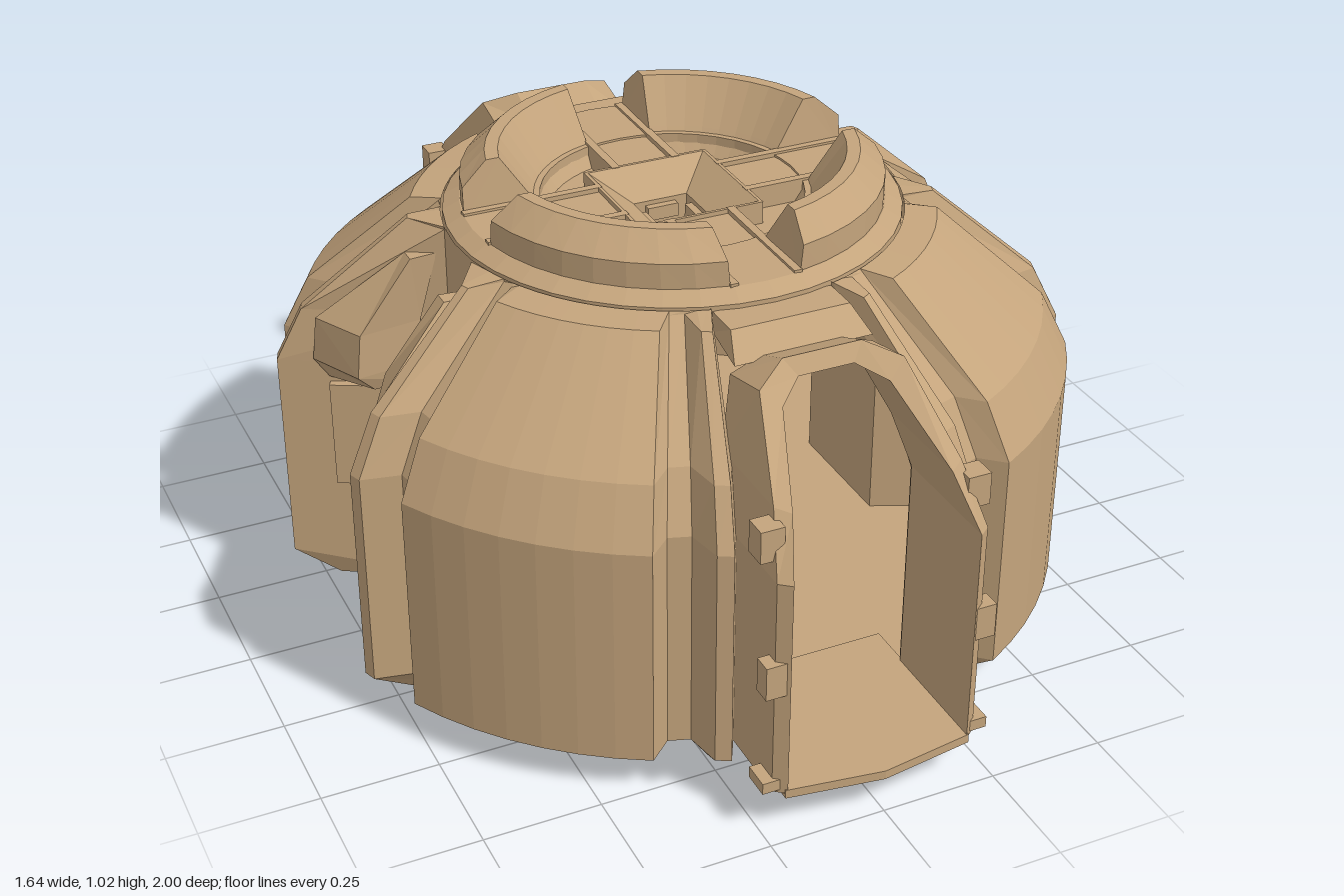
import * as THREE from 'three';

const mat = new THREE.MeshStandardMaterial({ color: 0xc4a47c, flatShading: true, side: THREE.DoubleSide });
const add = (parent, name, geo) => {
  const m = new THREE.Mesh(geo, mat);
  m.name = name;
  parent.add(m);
  return m;
};

// Skin a list of closed rings of [x, y, z]; the winding is turned outward by signed volume
function loft(rings, caps = false) {
  const tris = [];
  const n = rings[0].length;
  for (let i = 0; i < rings.length - 1; i++) {
    for (let j = 0; j < n; j++) {
      const k = (j + 1) % n;
      const a = rings[i][j], b = rings[i][k], c = rings[i + 1][k], d = rings[i + 1][j];
      tris.push([a, b, c], [a, c, d]);
    }
  }
  if (caps) {
    const last = rings[rings.length - 1];
    for (let j = 1; j < n - 1; j++) {
      tris.push([rings[0][0], rings[0][j + 1], rings[0][j]], [last[0], last[j], last[j + 1]]);
    }
  }
  const V = p => new THREE.Vector3(...p);
  const volume = tris.reduce((s, [a, b, c]) => s + V(a).dot(V(b).cross(V(c))), 0);
  const pos = tris.flatMap(([a, b, c]) => (volume < 0 ? [a, c, b] : [a, b, c])).flat();
  const g = new THREE.BufferGeometry();
  g.setAttribute('position', new THREE.Float32BufferAttribute(pos, 3));
  g.computeVertexNormals();
  return g;
}

// Horizontal plate from [x, z] points, with an optional hole
function slab(points, top, thickness, hole) {
  const vec = list => list.map(p => new THREE.Vector2(p[0], p[1]));
  const shape = new THREE.Shape(vec(points));
  if (hole) shape.holes.push(new THREE.Path(vec(hole)));
  const g = new THREE.ExtrudeGeometry(shape, { depth: thickness, bevelEnabled: false });
  return g.rotateX(Math.PI / 2).translate(0, top, 0);
}
const circle = (r, n) => Array.from({ length: n }, (_, i) => {
  const a = (i / n) * Math.PI * 2;
  return [r * Math.cos(a), r * Math.sin(a)];
});
const lathe = (pts, n) => new THREE.LatheGeometry(pts.map(p => new THREE.Vector2(p[0], p[1])), n);
const box = (w, h, d, x, y, z) => new THREE.BoxGeometry(w, h, d).translate(x, y, z);

// Dome profile: how far the wall leans inward at each height
const CORE = 0.49;
const LEVELS = [[0.01, 0.1], [0.08, 0], [0.57, 0], [0.69, 0.06], [0.89, 0.295], [0.896, 0.5]];
function inset(y) {
  const i = Math.max(1, LEVELS.findIndex(l => l[0] >= y));
  const [y0, v0] = LEVELS[i - 1], [y1, v1] = LEVELS[i];
  return v0 + (v1 - v0) * (y - y0) / (y1 - y0);
}
function onDome([x, z], y, core = CORE) {
  const r = Math.hypot(x, z);
  const k = Math.max(r - inset(y), core) / r;
  return [x * k, y, z * k];
}

// Plan of one quarter: side bay, fin, groove, big segment, groove, fin, door edge
const arc = (r, a0, a1, n) => Array.from({ length: n + 1 }, (_, i) => {
  const a = THREE.MathUtils.degToRad(a0 + (a1 - a0) * i / n);
  return [r * Math.cos(a), r * Math.sin(a)];
});
const BAY = [[0.485, 0.08], [0.818, 0.25]];
const outerQuarter = [[0.49, 0], ...BAY, [0.808, 0.278], [0.725, 0.295], [0.715, 0.34],
  ...arc(0.854, 27.2, 62.8, 7), [0.34, 0.715], [0.295, 0.73], [0.28, 0.81], [0.25, 0.825], [0.215, 0.76]];
const innerQuarter = [[0.43, 0], [0.43, 0.15], [0.66, 0.25], ...arc(0.75, 27, 63, 6), [0.22, 0.69], [0.205, 0.69]];
const half = q => [...q.slice(1).reverse().map(([x, z]) => [x, -z]), ...q];
const outerHalf = half(outerQuarter), innerHalf = half(innerQuarter).reverse();
const fullOutline = [...outerHalf, ...outerHalf.map(([x, z]) => [-x, z]).reverse()];

function doorway() {
  const g = new THREE.Group();
  g.name = 'doorway';
  // Hoop: x, y, outer z, inner z, thickness in x and y, drop of the rear edge
  const side = [[0.2, 0.09, 0.97, 0.7, 0.025, 0, 0], [0.2, 0.58, 0.97, 0.7, 0.025, 0, 0],
    [0.17, 0.69, 0.9, 0.66, 0.03, 0.01, 0], [0.115, 0.82, 0.745, 0.6, 0.04, 0.035, 0.03],
    [0.06, 0.85, 0.7, 0.59, 0.025, 0.035, 0.04]];
  const ring = s => ([x, y, zo, zi, dx, dy, drop]) =>
    [[s * x, y, zo], [s * (x + dx), y + dy, zo - 0.02], [s * (x + dx), y + dy - drop, zi], [s * x, y - drop / 4, zi]];
  add(g, 'doorFrame', loft([...side.map(ring(1)), ...side.map(ring(-1)).reverse()], true));
  // Roof strip between the collar and the hoop
  add(g, 'lintel', loft([-1, 1].map(s =>
    [[s * 0.13, 0.845, 0.47], [s * 0.13, 0.89, 0.47], [s * 0.13, 0.89, 0.55], [s * 0.15, 0.845, 0.61]]), true));
  add(g, 'porchFloor', slab([[-0.205, 0.6], [-0.205, 0.97], [0, 1], [0.205, 0.97], [0.205, 0.6]], 0.1, 0.02));
  for (const s of [-1, 1]) {
    add(g, 'frameLug', box(0.05, 0.075, 0.04, s * 0.225, 0.365, 0.945));
    add(g, 'upperFrameLug', box(0.05, 0.07, 0.05, s * 0.22, 0.645, 0.895));
    add(g, 'frameFoot', box(0.05, 0.025, 0.06, s * 0.225, 0.11, 0.93));
  }
  return g;
}

// Flat panel on the bay wall
function bayPanel(y0, y1, s0, s1) {
  const at = s => BAY[0].map((v, i) => v + (BAY[1][i] - v) * s);
  const [a, b] = [at(s0), at(s1)];
  return loft([y0, y1].map(y => [
    [a[0], y, a[1]], [b[0], y, b[1]], [b[0] + 0.008, y, b[1] - 0.016], [a[0] + 0.008, y, a[1] - 0.016]]), true);
}

// Slanted hood above the panel: foot, ridge and shoulder of each level
function bayHood() {
  const rows = [[0.535, 0.55, 0.105, 0.65, 0.1, 0.72, 0.195], [0.58, 0.55, 0.1, 0.69, 0.082, 0.75, 0.205],
    [0.68, 0.54, 0.1, 0.68, 0.082, 0.74, 0.2], [0.835, 0.5, 0.09, 0.56, 0.085, 0.56, 0.12]];
  return loft(rows.map(([y, ax, az, bx, bz, cx, cz]) =>
    [[ax, y, az], [bx, y, bz], [cx, y, cz], [ax, y, cz]]), true);
}

// One quarter of the crown, cut straight along the cross slots
function crownQuarter() {
  const profile = [[0.447, 0.9], [0.447, 0.975], [0.393, 1.025], [0.365, 1.025], [0.3, 0.93], [0.26, 0.87]];
  const rings = [];
  for (let i = 0; i <= 8; i++) {
    rings.push(profile.map(([r, y]) => {
      const a0 = Math.asin((0.075 + Math.max(0, y - 0.92) * 0.14) / r);
      const a = a0 + (Math.PI / 2 - 2 * a0) * i / 8;
      return [r * Math.cos(a), y, r * Math.sin(a)];
    }));
  }
  return loft(rings, true);
}

export function createModel() {
  const model = new THREE.Group();
  model.name = 'domeBuilding';

  // Base with chamfered rim and a round hole
  const hole = circle(0.23, 24);
  add(model, 'baseRim', loft([0.01, 0.08].map(y => fullOutline.map(p => onDome(p, y)))));
  for (const [name, y] of [['baseUnderside', 0.02], ['floor', 0.09]]) {
    const pts = fullOutline.map(p => onDome(p, y - 0.01)).map(p => [p[0], p[2]]);
    add(model, name, slab(pts, y, 0.01, hole));
  }
  add(model, 'holeWall', lathe([[0.23, 0.01], [0.23, 0.09]], 24));

  // Thin sole plate with side bays and slots on the diagonals
  const sole = Array.from({ length: 120 }, (_, i) => {
    const a = (i * 3 + 0.5) * Math.PI / 180;
    const diagonal = Math.abs(((i * 3) % 90) - 45) < 11;
    const bay = Math.abs(Math.sin(a)) < 0.27;
    const r = bay ? 0.485 : diagonal ? 0.56 : 0.63;
    return [r * Math.cos(a), r * Math.sin(a)];
  });
  add(model, 'solePlate', slab(sole, 0.012, 0.012, circle(0.255, 24)));

  // Shell halves left and right of the doors
  for (const s of [1, -1]) {
    const rings = LEVELS.slice(1).map(([y]) => [
      ...outerHalf.map(p => onDome(p, y)), ...innerHalf.map(p => onDome(p, y, 0.43))]
      .map(([x, h, z]) => [s * x, h, z]));
    add(model, s > 0 ? 'leftShell' : 'rightShell', loft(rings));
    for (const t of [1, -1]) {
      const bay = new THREE.Group();
      bay.name = 'sideBay';
      bay.scale.set(s, 1, t);
      add(bay, 'lowerPanel', bayPanel(0.27, 0.52, 0.2, 0.7));
      add(bay, 'upperHood', bayHood());
      model.add(bay);
    }
  }

  // Doorways front and back
  for (const turn of [0, Math.PI]) {
    const d = doorway();
    d.rotation.y = turn;
    model.add(d);
  }

  // Roof collar, deck and crown
  add(model, 'roofCollar', lathe([[0.28, 0.85], [0.486, 0.85], [0.486, 0.9], [0.45, 0.92], [0.28, 0.92], [0.28, 0.85]], 40));
  add(model, 'roofDeck', slab(circle(0.3, 32), 0.875, 0.03, [[-0.07, -0.07], [0.07, -0.07], [0.07, 0.07], [-0.07, 0.07]]));
  const crown = crownQuarter();
  for (let i = 0; i < 4; i++) {
    const q = new THREE.Group();
    q.name = 'roofQuarter';
    q.rotation.y = i * Math.PI / 2;
    add(q, 'crownSegment', crown);
    // Cross arm with two rails, and small details on the hollow column
    add(q, 'crossArm', box(0.15, 0.05, 0.31, 0, 0.89, 0.29));
    for (const s of [-1, 1]) {
      add(q, 'armRail', box(0.018, 0.055, 0.31, s * 0.07, 0.898, 0.29));
      add(q, 'slotSide', box(0.006, 0.19, 0.006, s * 0.038, 0.59, 0.07));
      add(q, 'slotEnd', box(0.082, 0.006, 0.006, 0, 0.59 + s * 0.093, 0.07));
      const foot = add(q, 'columnFoot', box(0.05, 0.17, 0.02, 0, 0, 0));
      foot.position.set(s * 0.07, 0.18, 0.168);
      foot.rotation.x = -0.14;
    }
    add(q, 'columnTab', box(0.07, 0.03, 0.025, 0, 0.845, 0.058));
    model.add(q);
  }

  // Hollow square column with flared foot and funnel head
  const column = [[0.18, 0.09], [0.155, 0.27], [0.115, 0.29], [0.11, 0.35], [0.07, 0.41], [0.07, 0.79], [0.095, 0.83],
    [0.095, 0.86], [0.143, 0.86], [0.143, 0.925], [0.136, 0.925], [0.062, 0.87], [0.062, 0.41], [0.1, 0.35],
    [0.16, 0.09], [0.18, 0.09]];
  add(model, 'centralColumn', lathe(column.map(([r, y]) => [r * Math.SQRT2, y]), 4).rotateY(Math.PI / 4));

  return model;
}
